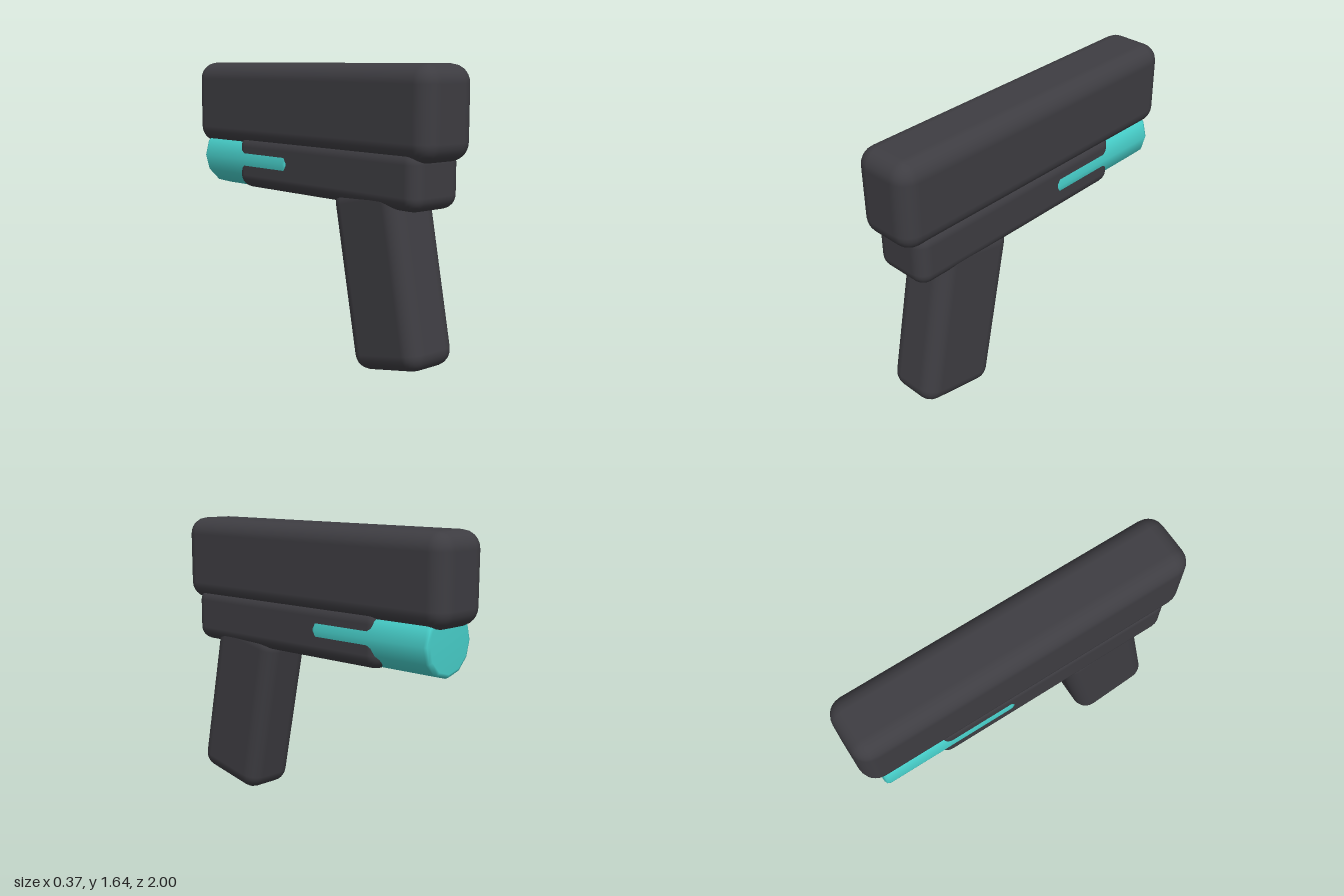
import * as THREE from 'three';
import { RoundedBoxGeometry } from 'three/addons/geometries/RoundedBoxGeometry.js';

export function createModel() {
  const model = new THREE.Group();
  const charcoal = new THREE.MeshStandardMaterial({ color: 0x3e3d42 });
  charcoal.name = 'charcoal';
  const turquoise = new THREE.MeshStandardMaterial({ color: 0x48d1cc });
  turquoise.name = 'turquoise';

  function add(name, geometry, material, y, z) {
    const mesh = new THREE.Mesh(geometry, material);
    mesh.name = name;
    mesh.position.set(0, y, z);
    model.add(mesh);
    return mesh;
  }

  // Upper slide
  add('slide', new RoundedBoxGeometry(0.37, 0.495, 2, 3, 0.1), charcoal, 1.3975, 0);

  // Lower frame under the slide
  add('frame', new RoundedBoxGeometry(0.35, 0.32, 1.495, 3, 0.077), charcoal, 1.06, 0.1675);

  // Grip, leaning so its foot is towards +z
  const grip = add('grip', new RoundedBoxGeometry(0.33, 1, 0.493, 3, 0.09), charcoal, 0.523, 0.588);
  grip.rotation.x = -0.2;

  // Twelve-sided barrel with softly bevelled ends, partly sunk into the frame
  const r = 0.185, half = 0.408, b = 0.025;
  const profile = [
    [0, -half], [r - b, -half], [r - b * 0.3, -half + b * 0.3], [r, -half + b],
    [r, half - b], [r - b * 0.3, half - b * 0.3], [r - b, half], [0, half],
  ].map(([x, y]) => new THREE.Vector2(x, y));
  const barrel = new THREE.LatheGeometry(profile, 12).rotateX(Math.PI / 2);
  add('barrel', barrel, turquoise, 1.07, -0.507);

  return model;
}
